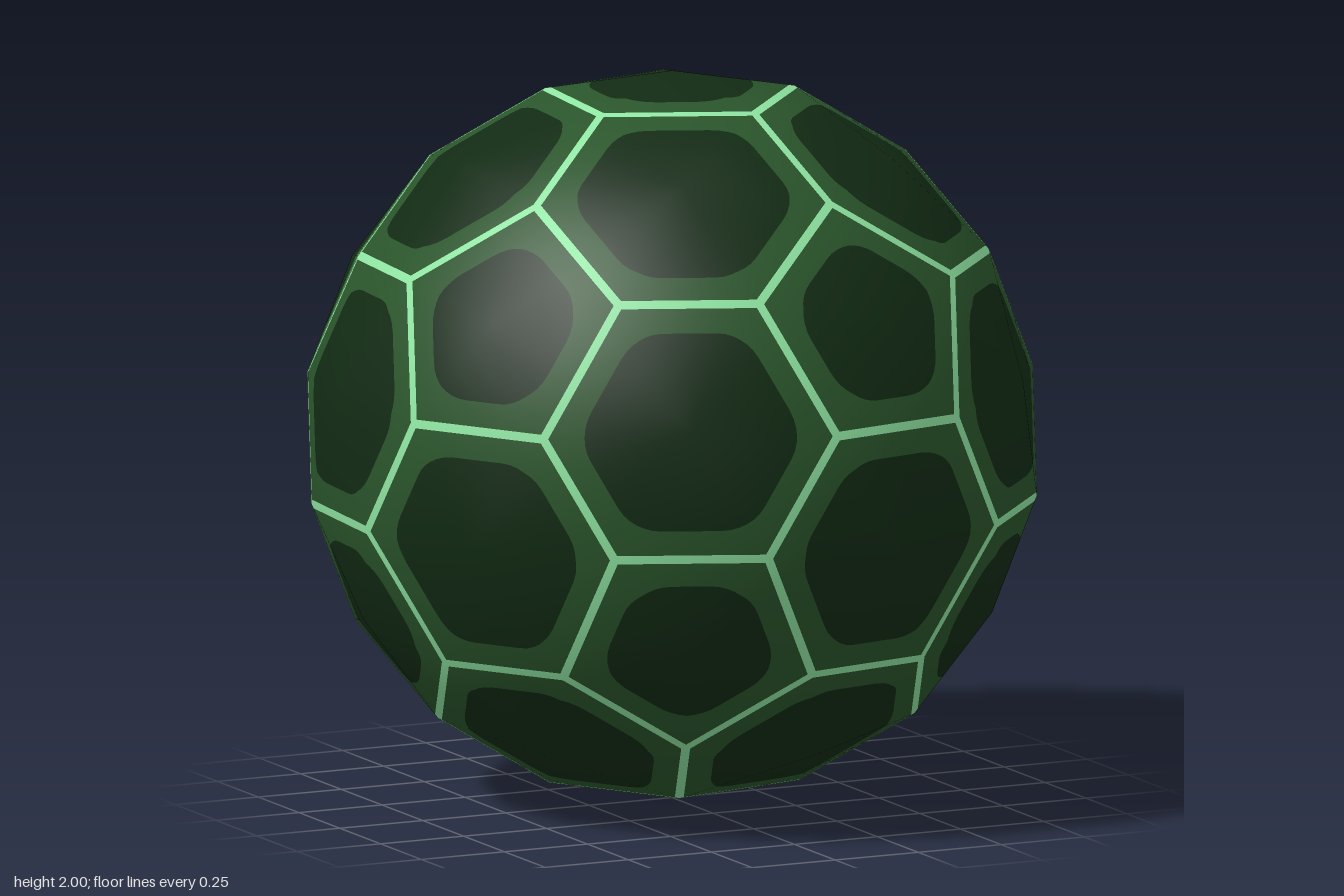
import * as THREE from 'three';

const TURN = THREE.MathUtils.degToRad(5);      // spin of the whole ball about y
const CORNER = THREE.MathUtils.degToRad(20.77); // pentagon centre to corner
const STEPS = 12;        // slices along each cell edge
const SEAM = 0.012;      // half width of the bright seam
const BORDER = 0.08;     // from cell edge to dark panel
const ROUND = 0.14;      // corner radius of the dark panel

// Twelve pentagon centres: a pole, a ring of five, and their opposites
function pentagonCentres() {
  const list = [new THREE.Vector3(0, 1, 0)];
  for (let k = 0; k < 5; k++) {
    const a = TURN + k * Math.PI * 2 / 5;
    list.push(new THREE.Vector3(2 * Math.cos(a), 1, 2 * Math.sin(a)).normalize());
  }
  return list.concat(list.map(p => p.clone().negate()));
}

// Fraction of the way from cell centre to edge where the rounded panel ends;
// s runs from -1 to 1 along the edge
function panelFraction(s, sides, apothem) {
  const half = Math.PI / sides, a = apothem - BORDER;
  const t = Math.abs(s) * Math.tan(half);
  if (t * a <= (a - ROUND) * Math.tan(half)) return a / apothem;
  const phi = Math.atan(t), d = (a - ROUND) / Math.cos(half), off = half - phi;
  const reach = d * Math.cos(off) + Math.sqrt(ROUND ** 2 - (d * Math.sin(off)) ** 2);
  return reach * Math.cos(phi) / apothem;
}

export function createModel() {
  const pents = pentagonCentres();
  const near = (a, b) => a !== b && a.dot(b) > 0.4;

  // Twenty hexagon centres, one for each triple of neighbouring pentagons
  const hexes = [];
  pents.forEach((a, i) => pents.forEach((b, j) => pents.forEach((c, k) => {
    if (i < j && j < k && near(a, b) && near(b, c) && near(a, c))
      hexes.push(a.clone().add(b).add(c).normalize());
  })));

  // Sixty corners, on the way from each pentagon to its neighbours
  const corners = [];
  for (const a of pents) for (const b of pents) if (near(a, b)) {
    const side = b.clone().addScaledVector(a, -a.dot(b)).normalize();
    corners.push(a.clone().multiplyScalar(Math.cos(CORNER)).addScaledVector(side, Math.sin(CORNER)));
  }

  const bands = { panels: [], borders: [], seams: [] };

  // Each cell is a shallow fan cut into panel, border and seam
  for (const c of [...pents, ...hexes]) {
    const ring = corners.filter(p => p.dot(c) > 0.86);
    const u = ring[0].clone().addScaledVector(c, -ring[0].dot(c)).normalize();
    const v = c.clone().cross(u);
    const angle = p => (Math.atan2(p.dot(v), p.dot(u)) + Math.PI * 2 + 0.01) % (Math.PI * 2);
    ring.sort((p, q) => angle(p) - angle(q));
    const n = ring.length;
    const next = i => ring[(i + 1) % n];
    const apothem = ring.reduce((sum, p, i) =>
      sum + p.clone().add(next(i)).multiplyScalar(0.5).distanceTo(c), 0) / n;

    ring.forEach((p, i) => {
      const at = (k, f) => c.clone().lerp(p.clone().lerp(next(i), k / STEPS), f);
      for (let k = 0; k < STEPS; k++) {
        const rows = [k, k + 1].map(m =>
          [0, panelFraction(2 * m / STEPS - 1, n, apothem), 1 - SEAM / apothem, 1]);
        Object.values(bands).forEach((out, b) => {
          const [i0, o0] = [at(k, rows[0][b]), at(k, rows[0][b + 1])];
          const [i1, o1] = [at(k + 1, rows[1][b]), at(k + 1, rows[1][b + 1])];
          out.push(i0, o0, o1);
          if (b > 0) out.push(i0, o1, i1);
        });
      }
    });
  }

  const colours = { panels: 0x122b14, borders: 0x2a552b, seams: 0x90e6a3 };
  const titles = { panels: 'darkGreenPanel', borders: 'midGreenBorder', seams: 'paleGreenSeam' };
  const model = new THREE.Group();
  model.name = 'panelledBall';
  for (const [name, points] of Object.entries(bands)) {
    const geometry = new THREE.BufferGeometry().setFromPoints(points);
    // Smooth, ball-like normals
    const normals = points.flatMap(p => p.clone().normalize().toArray());
    geometry.setAttribute('normal', new THREE.Float32BufferAttribute(normals, 3));
    const material = new THREE.MeshStandardMaterial({ color: colours[name] });
    material.name = titles[name];
    const mesh = new THREE.Mesh(geometry, material);
    mesh.name = name;
    mesh.position.y = 1;
    model.add(mesh);
  }
  return model;
}
